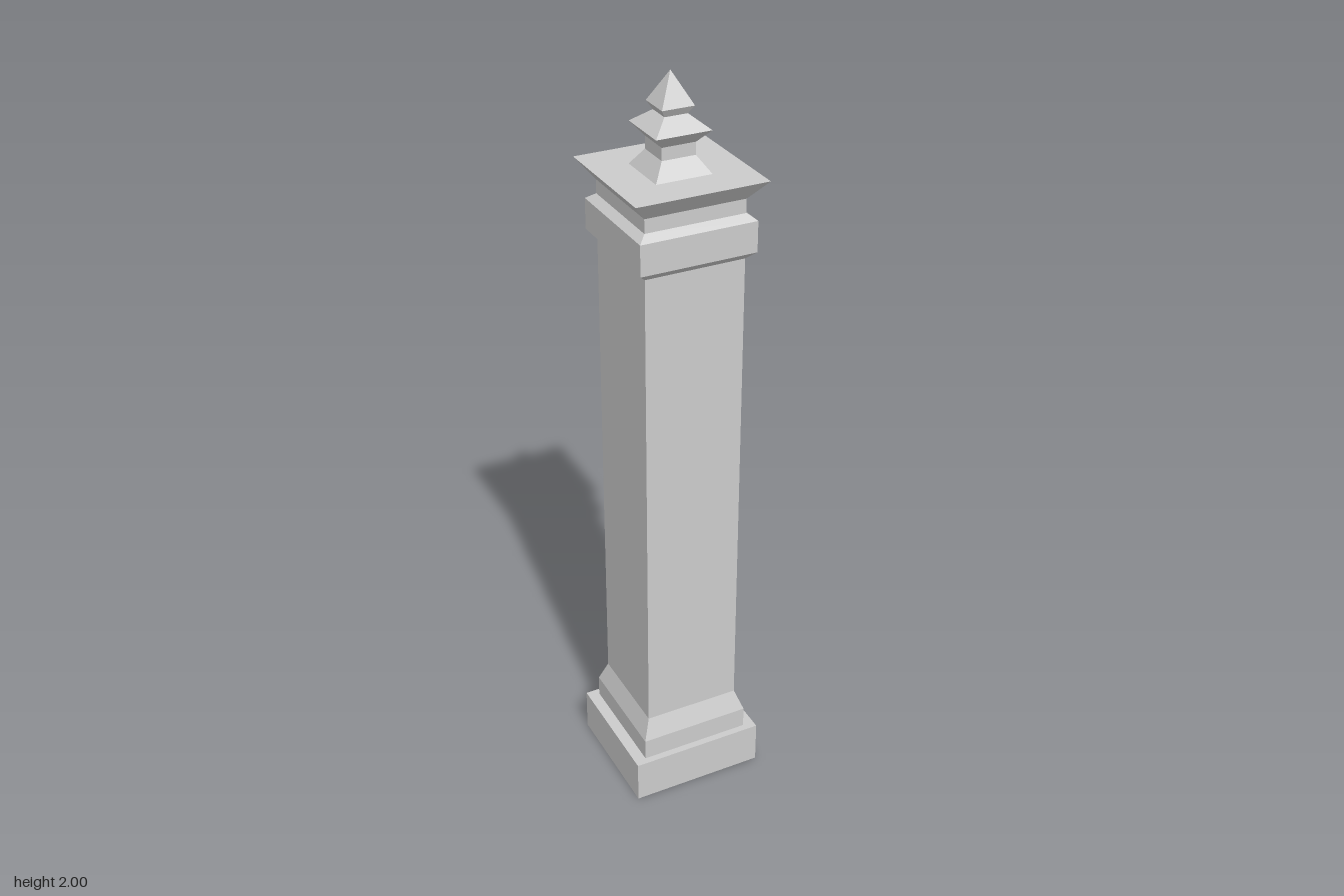
import * as THREE from 'three';

const material = new THREE.MeshStandardMaterial({
  color: 0xcccccc, flatShading: true, side: THREE.DoubleSide,
});

// Square turned section: profile is a list of [half width, height], bottom to top
function squareSection(name, profile) {
  const points = profile.map(([half, y]) => new THREE.Vector2(half * Math.SQRT2, y));
  const mesh = new THREE.Mesh(new THREE.LatheGeometry(points, 4, Math.PI / 4), material);
  mesh.name = name;
  return mesh;
}

export function createModel() {
  const group = new THREE.Group();
  group.name = 'squarePillar';

  // Plinth: hollow underneath, a little wider than deep
  const plinth = squareSection('plinth', [[0.172, 0], [0.172, 0.12], [0, 0.12]]);
  plinth.scale.x = 0.185 / 0.172;

  group.add(
    plinth,
    // Foot moulding with a sloped shoulder
    squareSection('footMoulding', [[0.153, 0.12], [0.153, 0.18], [0.132, 0.238]]),
    squareSection('shaft', [[0.132, 0.238], [0.132, 1.56]]),
    // Collar with chamfered edges
    squareSection('collar', [[0.132, 1.56], [0.153, 1.58], [0.153, 1.66], [0.132, 1.676]]),
    // Neck and flared cap with a flat top
    squareSection('cap', [[0.132, 1.676], [0.132, 1.712], [0.172, 1.762], [0, 1.762]]),
    // Stepped finial ending in a point
    squareSection('finial', [
      [0.073, 1.762], [0.044, 1.804], [0.044, 1.836], [0.072, 1.868],
      [0.03, 1.902], [0.042, 1.922], [0, 2],
    ]),
  );
  return group;
}
